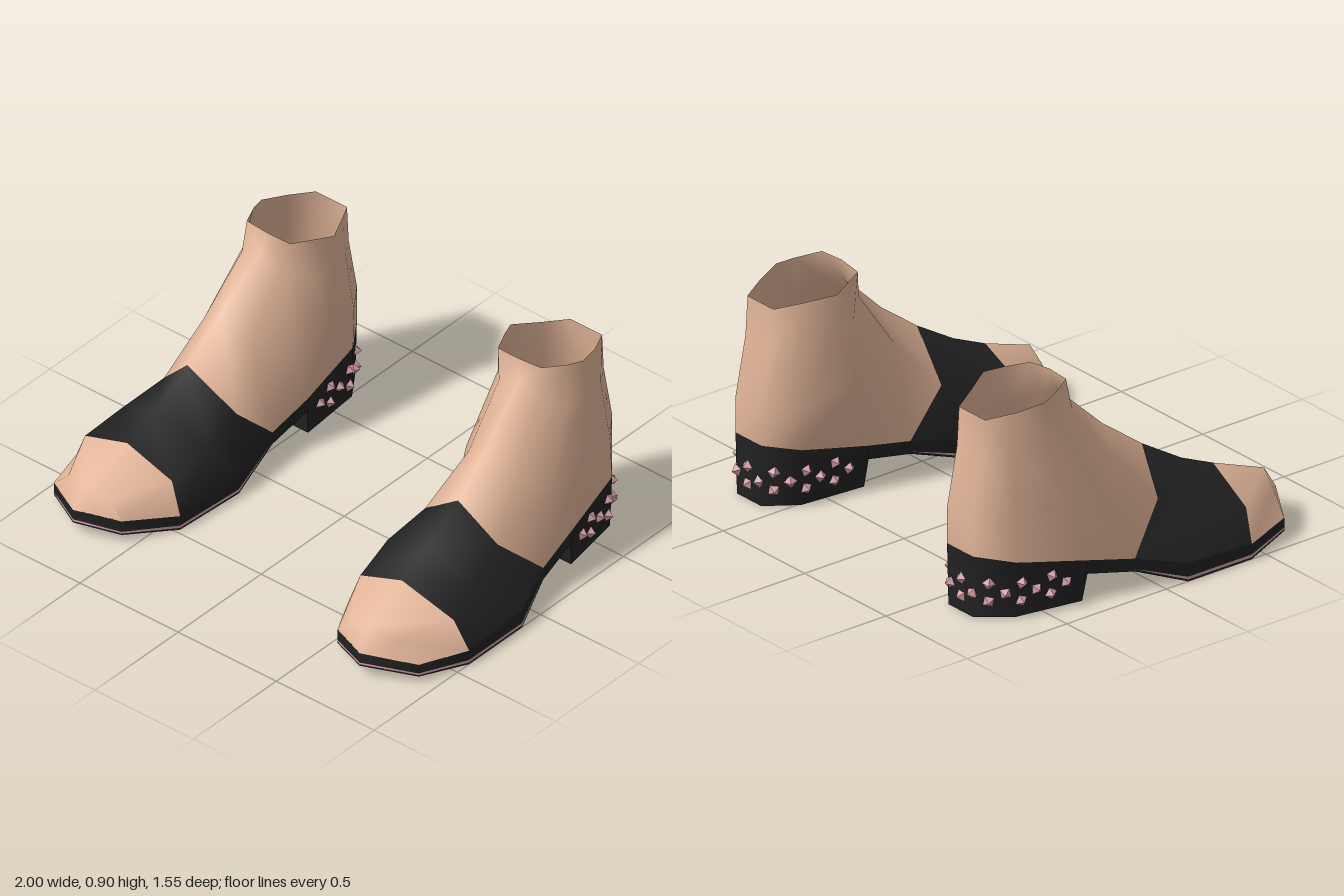
import * as THREE from 'three';

const mat = (name, color) => {
  const m = new THREE.MeshStandardMaterial({ color, side: THREE.DoubleSide });
  m.name = name;
  return m;
};

// Skin a list of cross-sections (each a list of [x, y, z]) into a smooth surface.
function loft(name, rows, material, closed = false) {
  const n = rows[0].length, index = [];
  for (let i = 0; i < rows.length - 1; i++) {
    for (let j = 0; j < (closed ? n : n - 1); j++) {
      const a = i * n + j, b = i * n + (j + 1) % n, c = b + n, d = a + n;
      index.push(a, b, c, a, c, d);
    }
  }
  const g = new THREE.BufferGeometry();
  g.setAttribute('position', new THREE.Float32BufferAttribute(rows.flat(2), 3));
  g.setIndex(index);
  g.computeVertexNormals();
  const mesh = new THREE.Mesh(g, material);
  mesh.name = name;
  return mesh;
}

function createShoe(tan, black, pink) {
  const shoe = new THREE.Group();

  // Ankle rings, each running front, outer side, back, inner side
  const collar = [
    [.69, .475, .13], [.85, .31, .08], [.93, .135, -.10], [.895, .178, -.31],
    [.84, .24, -.62], [.73, .265, -.75], [.57, .265, -.75], [.48, .24, -.62],
    [.45, .178, -.31], [.45, .135, -.10], [.48, .31, .08]];
  const ankle = [
    [.68, .615, -.06], [.80, .52, -.10], [.88, .42, -.22], [.875, .47, -.40],
    [.83, .42, -.62], [.73, .42, -.75], [.57, .42, -.75], [.475, .42, -.62],
    [.42, .49, -.40], [.435, .42, -.22], [.55, .52, -.10]];
  const neck = [
    [.66, .815, -.27], [.75, .77, -.27], [.82, .72, -.37], [.835, .72, -.47],
    [.80, .69, -.60], [.73, .67, -.70], [.57, .67, -.70], [.50, .69, -.60],
    [.455, .72, -.47], [.47, .72, -.37], [.56, .77, -.27]];
  const rim = [
    [.64, .903, -.29], [.75, .903, -.30], [.80, .885, -.40], [.82, .875, -.47],
    [.785, .853, -.58], [.73, .835, -.69], [.57, .835, -.69], [.51, .853, -.58],
    [.45, .875, -.47], [.48, .885, -.40], [.53, .895, -.30]];
  shoe.add(loft('ankleUpper', [collar, ankle, neck, rim], tan, true));

  // Arches over the foot, inner side to outer side
  const strapRear = [9, 10, 0, 1, 2].map(i => collar[i]);
  const strapMid = [[.41, .08, .15], [.45, .25, .27], [.70, .36, .32], [.90, .25, .27], [1, .08, .11]];
  const strapFront = [[.43, .065, .48], [.48, .205, .47], [.70, .29, .48], [.94, .195, .45], [1, .065, .43]];
  const toeArch = [[.55, .10, .69], [.61, .175, .69], [.72, .205, .72], [.84, .17, .67], [.93, .085, .65]];
  const toeEdge = [[.55, .10, .69], [.64, .108, .73], [.73, .115, .77], [.83, .10, .71], [.93, .085, .65]];
  shoe.add(loft('strap', [strapFront, strapMid, strapRear], black));
  shoe.add(loft('toeCap', [toeEdge, toeArch, strapFront], tan));

  // Sole outline from outer heel breast round the toe: x, z, top, trim, trim thickness, bottom
  const outline = [
    [.895, -.31, .178, .13, 0, .12], [.93, -.10, .135, .09, 0, .08],
    [1, .11, .08, .02, .012, 0], [1, .43, .065, .02, .012, 0],
    [.93, .65, .085, .045, .008, .03], [.73, .77, .115, .07, .008, .055],
    [.55, .69, .10, .05, .008, .035], [.43, .48, .065, .02, .012, 0],
    [.41, .15, .08, .02, .012, 0], [.45, -.10, .135, .09, 0, .08],
    [.45, -.31, .178, .13, 0, .12]];
  const level = f => outline.map(p => [p[0], f(p), p[1]]);
  const bottom = level(p => p[5]);
  shoe.add(loft('soleWall', [level(p => p[2]), level(p => p[3])], black));
  shoe.add(loft('soleTrim', [level(p => p[3]), level(p => p[3] - p[4])], pink));
  shoe.add(loft('soleEdge', [level(p => p[3] - p[4]), bottom], black));
  shoe.add(loft('outsole', [0, 1, 2, 3, 4, 5].map(i => [bottom[10 - i], bottom[i]]), black));

  // Heel block
  const heelTop = collar.slice(3, 9);
  const heelBase = [[.88, .003, -.325], [.83, .003, -.62], [.725, .003, -.747],
    [.575, .003, -.747], [.485, .003, -.62], [.46, .003, -.325]];
  shoe.add(loft('heelWall', [heelBase, heelTop], black));
  shoe.add(loft('heelBase', [0, 1, 2].map(i => [heelBase[i], heelBase[5 - i]]), black));
  shoe.add(loft('heelBreast', [[heelBase[5], heelBase[0]], [bottom[10], bottom[0]]], black));

  // Pointed studs in alternating ones and twos around the heel
  const studs = new THREE.Group();
  studs.name = 'heelStuds';
  const studGeo = new THREE.OctahedronGeometry(.027).toNonIndexed();
  studGeo.computeVertexNormals();
  const top = heelTop.map(p => new THREE.Vector3(...p));
  const base = heelBase.map(p => new THREE.Vector3(...p));
  const lengths = base.slice(1).map((p, i) => p.distanceTo(base[i]));
  const total = lengths.reduce((a, b) => a + b);
  const columns = 15;
  for (let k = 0; k < columns; k++) {
    let d = .08 + (total - .16) * k / (columns - 1), s = 0;
    while (s < 4 && d > lengths[s]) d -= lengths[s++];
    const lo = base[s].clone().lerp(base[s + 1], d / lengths[s]);
    const hi = top[s].clone().lerp(top[s + 1], d / lengths[s]);
    const along = base[s + 1].clone().sub(base[s]);
    for (const y of k % 2 ? [.07, .147] : [.105]) {
      const stud = new THREE.Mesh(studGeo, pink);
      stud.name = 'stud';
      stud.position.copy(lo).lerp(hi, (y - lo.y) / (hi.y - lo.y));
      stud.rotation.set(0, Math.atan2(-along.z, along.x), k * .7 + y * 9);
      studs.add(stud);
    }
  }
  shoe.add(studs);
  return shoe;
}

export function createModel() {
  const tan = mat('tan leather', 0xe3b699);
  const black = mat('black leather', 0x222222);
  const pink = mat('pink metal', 0xd6a0a8);
  const model = new THREE.Group();
  model.name = 'ankleBoots';
  for (const side of [1, -1]) {
    const shoe = createShoe(tan, black, pink);
    shoe.name = side > 0 ? 'leftBoot' : 'rightBoot';
    shoe.scale.x = side;
    model.add(shoe);
  }
  return model;
}
